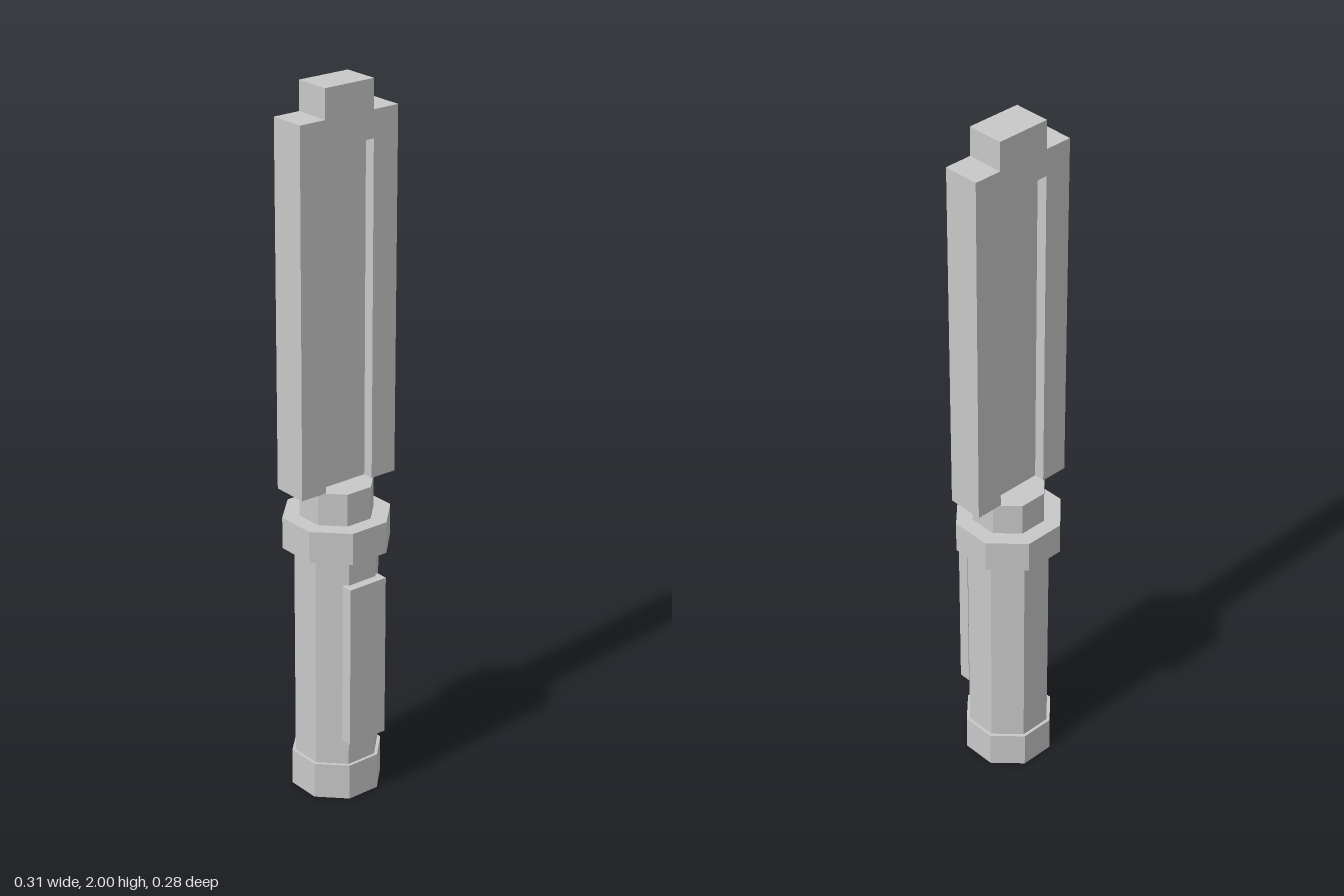
import * as THREE from 'three';

export function createModel() {
  const model = new THREE.Group();
  const grey = new THREE.MeshStandardMaterial({ color: 0xc8c8c8 });
  grey.name = 'lightGrey';

  const add = (name, geometry, x = 0, y = 0, z = 0) => {
    const flat = geometry.index ? geometry.toNonIndexed() : geometry;
    flat.computeVertexNormals();
    const mesh = new THREE.Mesh(flat, grey);
    mesh.name = name;
    mesh.position.set(x, y, z);
    model.add(mesh);
  };

  // Eight-sided section with flats facing the x and z axes
  const octagon = (name, apothem, y0, y1) => {
    const r = apothem / Math.cos(Math.PI / 8);
    const g = new THREE.CylinderGeometry(r, r, y1 - y0, 8).rotateY(Math.PI / 8);
    add(name, g, 0, (y0 + y1) / 2);
  };

  // Handle, from the bottom up
  octagon('pommel', 0.118, 0, 0.105);
  octagon('grip', 0.109, 0.105, 0.73);
  octagon('guard', 0.139, 0.73, 0.82);
  octagon('neck', 0.095, 0.82, 0.912);

  // Raised plate on the front of the grip
  add('gripPlate', new THREE.BoxGeometry(0.122, 0.47, 0.034), 0, 0.418, 0.117);

  // Blade frame: stepped tip, with a slot open at the bottom
  const w = 0.157, s = 0.078, y0 = 0.912, slotTop = 1.845, shoulder = 1.92, d = 0.104;
  const frame = new THREE.Shape([
    [-w, y0], [-s, y0], [-s, slotTop], [s, slotTop], [s, y0], [w, y0],
    [w, shoulder], [s, shoulder], [s, 2], [-s, 2], [-s, shoulder], [-w, shoulder],
  ].map(([x, y]) => new THREE.Vector2(x, y)));
  add('bladeFrame', new THREE.ExtrudeGeometry(frame, { depth: d, bevelEnabled: false }), 0, 0, -d / 2);

  // Thin web that forms the groove floor on both sides
  add('bladeCore', new THREE.BoxGeometry(2 * s, slotTop - y0, 0.042), 0, (y0 + slotTop) / 2);

  return model;
}
